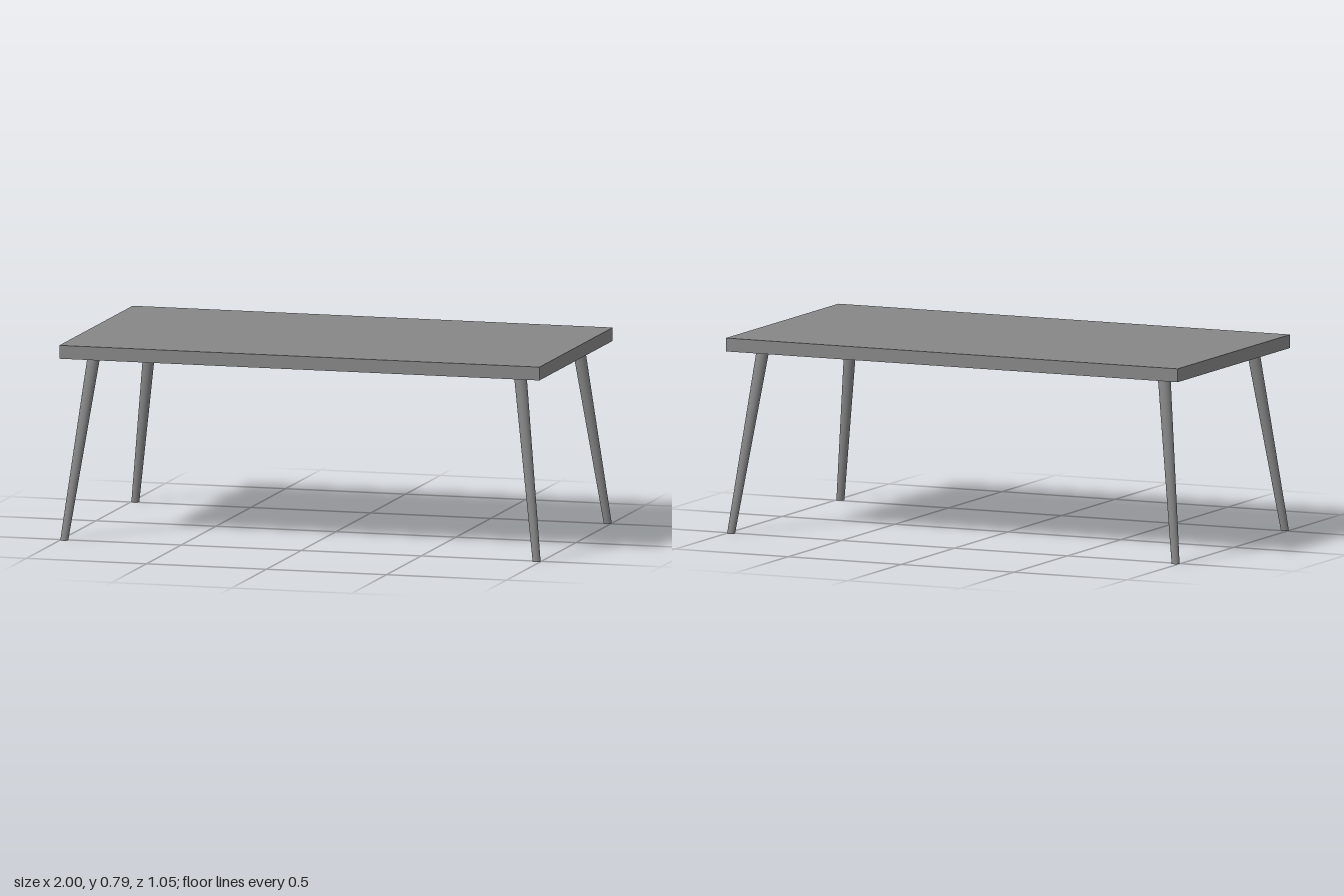
import * as THREE from 'three';

const TOP_Y = 0.791, UNDER_Y = 0.737;

// Tapered round leg, sheared so both ends stay level: foot and head are [x, z] centres
function splayedLeg(foot, head, footRadius, headRadius) {
  const g = new THREE.CylinderGeometry(headRadius, footRadius, UNDER_Y, 32);
  g.translate(0, UNDER_Y / 2, 0);
  const shear = new THREE.Matrix4().set(
    1, (head[0] - foot[0]) / UNDER_Y, 0, foot[0],
    0, 1, 0, 0,
    0, (head[1] - foot[1]) / UNDER_Y, 1, foot[1],
    0, 0, 0, 1
  );
  return g.applyMatrix4(shear);
}

export function createModel() {
  const group = new THREE.Group();
  group.name = 'table';
  const material = new THREE.MeshStandardMaterial({ color: 0x868686 });

  // Flat slab top
  const top = new THREE.Mesh(new THREE.BoxGeometry(2, TOP_Y - UNDER_Y, 1.054), material);
  top.position.y = (TOP_Y + UNDER_Y) / 2;
  top.name = 'tabletop';
  group.add(top);

  // Four legs splaying outwards to the corners
  for (const [sx, sideName] of [[1, 'Left'], [-1, 'Right']]) {
    for (const [sz, endName] of [[1, 'front'], [-1, 'back']]) {
      const leg = new THREE.Mesh(
        splayedLeg([sx * 0.984, sz * 0.511], [sx * 0.888, sz * 0.415], 0.016, 0.0255),
        material
      );
      leg.name = `${endName}${sideName}Leg`;
      group.add(leg);
    }
  }
  return group;
}
